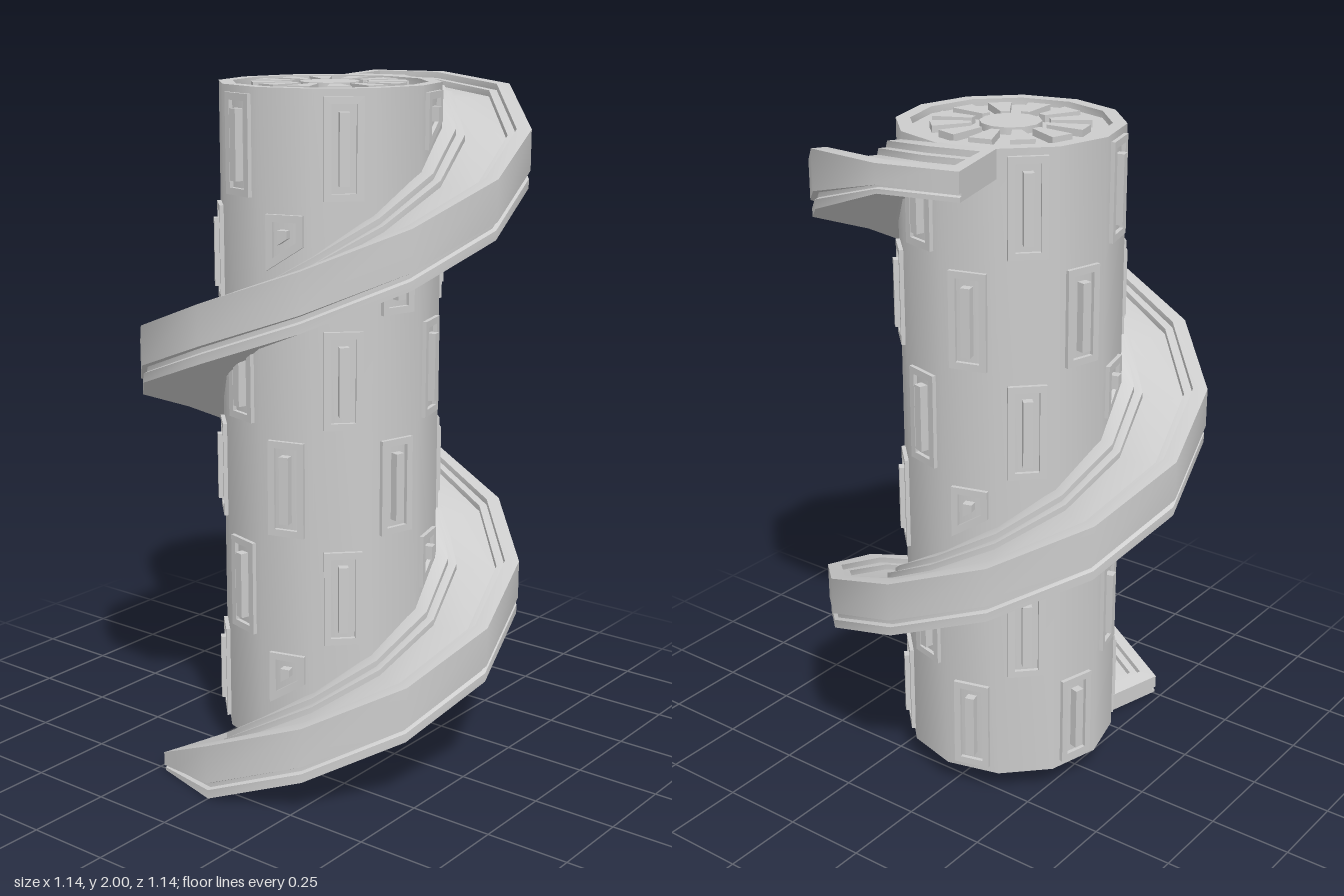
import * as THREE from 'three';
import { toCreasedNormals } from 'three/addons/utils/BufferGeometryUtils.js';

const STEP = Math.PI / 6;          // one facet of the twelve-sided tower
const RISE = 0.32 / 3;             // ramp climb per facet
const R = 0.32, BOTTOM = 0.08, TOP = 2, RAMP_H = 0.165, SEGMENTS = 20;
const APOTHEM = R * Math.cos(STEP / 2);

const grey = new THREE.MeshStandardMaterial({ color: 0xcccccc });
const greyDouble = new THREE.MeshStandardMaterial({ color: 0xcccccc, side: THREE.DoubleSide });

function add(parent, name, geometry, material = grey) {
  const mesh = new THREE.Mesh(geometry, material);
  mesh.name = name;
  parent.add(mesh);
  return mesh;
}

const polygon = (pts) => new THREE.Shape(pts.map(([x, y]) => new THREE.Vector2(x, y)));
const extrude = (shape, depth) => new THREE.ExtrudeGeometry(shape, { depth, bevelEnabled: false });

// Ramp cross-section: [radius, height fraction, tread level]
const PROFILE = [
  [0.572, 1, 0], [0.572, 0.3, 0], [0.556, 0.27, 0], [0.556, 0.19, 0], [0.568, 0.16, 0], [0.568, 0, 0],
  [0.312, 0, 0], [0.312, 1, 0], [0.36, 1, 0], [0.36, 1, 1], [0.385, 1, 1], [0.385, 1, 2],
  [0.505, 1, 2], [0.505, 1, 1], [0.53, 1, 1], [0.53, 1, 0],
];

// Cross-section at a whole facet index; both ends are level and cut square to the facet
function rampSection(k, level) {
  const a = (k - 1) * STEP;
  const low = THREE.MathUtils.clamp((k - 1) * RISE, 0, 18 * RISE);
  const high = Math.min(TOP, (k - 1) * RISE + RAMP_H);
  const isEnd = k === 0 || k === SEGMENTS;
  const n = k === 0 ? a + STEP / 2 : a - STEP / 2;
  return PROFILE.map(([r, f, l]) => {
    const y = low + (high - low) * f - 0.018 * Math.min(l, level);
    if (!isEnd) return new THREE.Vector3(r * Math.sin(a), y, r * Math.cos(a));
    const out = (r - R) * Math.cos(STEP / 2);
    return new THREE.Vector3(R * Math.sin(a) + out * Math.sin(n), y, R * Math.cos(a) + out * Math.cos(n));
  });
}

function sectionAt(k, level) {
  const k0 = Math.floor(k), s0 = rampSection(k0, level);
  if (k0 === k) return s0;
  const s1 = rampSection(k0 + 1, level);
  return s0.map((p, i) => p.lerp(s1[i], k - k0));
}

function rampGeometry() {
  // Tread recess steps down in two levels just inside each end
  const stations = [[0, 0], [0.16, 0], [0.16, 1], [0.27, 1], [0.27, 2]];
  const closing = stations.map(([k, l]) => [SEGMENTS - k, l]).reverse();
  for (let k = 1; k < SEGMENTS; k++) stations.push([k, 2]);
  stations.push(...closing);
  const rows = stations.map(([k, l]) => sectionAt(k, l));
  const pos = [];
  const tri = (...pts) => pts.forEach((p) => pos.push(p.x, p.y, p.z));
  for (let j = 0; j < rows.length - 1; j++) {
    for (let i = 0; i < PROFILE.length; i++) {
      const m = (i + 1) % PROFILE.length;
      tri(rows[j][i], rows[j][m], rows[j + 1][i]);
      tri(rows[j][m], rows[j + 1][m], rows[j + 1][i]);
    }
  }
  // End caps: the outline without the tread steps
  const first = rows[0], last = rows[rows.length - 1];
  const idx = [0, 1, 2, 3, 4, 5, 6, 7];
  const flat = idx.map((i) => new THREE.Vector2(PROFILE[i][0], PROFILE[i][1] * 0.1));
  for (const [a, b, c] of THREE.ShapeUtils.triangulateShape(flat, [])) {
    tri(first[a], first[b], first[c]);
    tri(last[a], last[c], last[b]);
  }
  const g = new THREE.BufferGeometry();
  g.setAttribute('position', new THREE.Float32BufferAttribute(pos, 3));
  return toCreasedNormals(g, 0.6);
}

// Raised frame around a projecting bar; the sill follows the ramp where it is cut
function makeWindow(angle, yMid) {
  const half = 0.055, top = yMid + 0.14, bottom = yMid - 0.14;
  const slope = RISE / (2 * R * Math.sin(STEP / 2));
  let sill = bottom, tilt = 0;
  for (let turn = 0; turn < 2; turn++) {
    const base = (angle / STEP + 12 * turn) * RISE;
    if (base < bottom && base + RAMP_H > bottom) {
      sill = base + RAMP_H + 0.04;
      tilt = slope;
    }
  }
  const outline = (inset) => {
    const w = half - inset, s = sill + inset * (tilt ? 1.2 : 1);
    return [[-w, s - tilt * w], [w, s + tilt * w], [w, top - inset], [-w, top - inset]];
  };
  const group = new THREE.Group();
  group.name = 'window';
  const frame = polygon(outline(0));
  frame.holes.push(polygon(outline(0.02)));
  add(group, 'windowFrame', extrude(frame, 0.022)).position.z = APOTHEM - 0.01;
  add(group, 'windowBar', extrude(polygon(outline(0.041)), 0.035)).position.z = APOTHEM - 0.01;
  group.rotation.y = angle;
  return group;
}

export function createModel() {
  const model = new THREE.Group();
  model.name = 'spiralRampTower';

  // Twelve-sided tower with a recessed roof
  const wall = [[0, BOTTOM], [R, BOTTOM], [R, TOP], [0.28, TOP], [0.28, TOP - 0.02], [0, TOP - 0.02]];
  const lathe = new THREE.LatheGeometry(wall.map(([x, y]) => new THREE.Vector2(x, y)), 12);
  add(model, 'towerBody', toCreasedNormals(lathe, 0.6));

  // Roof hub and spokes
  const roof = new THREE.Group();
  roof.name = 'roofDetail';
  add(roof, 'roofHub', new THREE.CylinderGeometry(0.087, 0.087, 0.03, 12)).position.y = TOP - 0.015;
  const wedge = extrude(polygon([[-0.013, 0.11], [0.013, 0.11], [0.034, 0.221], [-0.034, 0.221]]), 0.03);
  wedge.rotateX(-Math.PI / 2);
  for (let i = 0; i < 12; i++) {
    const spoke = add(roof, 'roofSpoke', wedge);
    spoke.position.y = TOP - 0.03;
    spoke.rotation.y = (i + 0.5) * STEP;
  }
  model.add(roof);

  // Six staggered rows of windows on alternate facets
  for (let row = 0; row < 6; row++) {
    for (let i = 0; i < 6; i++) {
      const angle = (2 * i + (row % 2) + 0.5) * STEP;
      model.add(makeWindow(angle, BOTTOM + 0.32 * (row + 0.5)));
    }
  }

  add(model, 'spiralRamp', rampGeometry(), greyDouble);
  return model;
}
